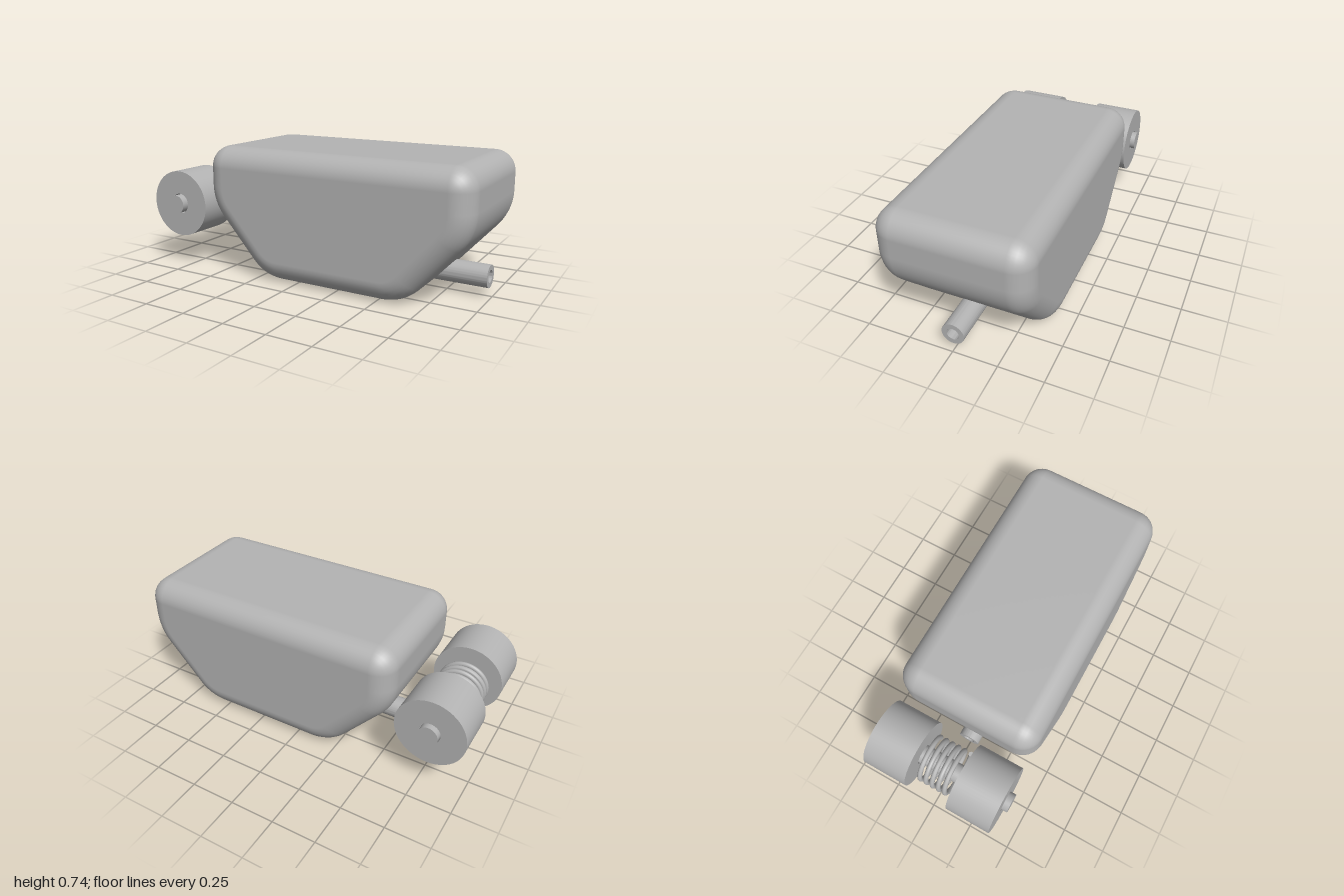
import * as THREE from 'three';
import { toCreasedNormals } from 'three/addons/utils/BufferGeometryUtils.js';

const PIPE = { y: 0.11, outer: 0.063, inner: 0.035 };
const AXLE = { x: -0.805, y: 0.374 };

// Closed convex outline with rounded corners; each point carries its outward normal
function roundedOutline(corners, step) {
  const arcs = corners.map(([x, y, r], i) => {
    const p = new THREE.Vector2(x, y);
    const prev = corners[(i + corners.length - 1) % corners.length];
    const next = corners[(i + 1) % corners.length];
    const din = new THREE.Vector2(x - prev[0], y - prev[1]).normalize();
    const dout = new THREE.Vector2(next[0] - x, next[1] - y).normalize();
    const a0 = Math.atan2(-din.x, din.y);
    const turn = Math.acos(din.dot(dout));
    const centre = p.clone().addScaledVector(din, -r * Math.tan(turn / 2))
      .add(new THREE.Vector2(-din.y, din.x).multiplyScalar(r));
    return Array.from({ length: 11 }, (_, k) => {
      const a = a0 + turn * k / 10;
      const n = new THREE.Vector2(Math.cos(a), Math.sin(a));
      return { p: centre.clone().addScaledVector(n, r), n };
    });
  });
  const out = [];
  arcs.forEach((arc, i) => {
    out.push(...arc);
    const a = arc[10], b = arcs[(i + 1) % arcs.length][0];
    const count = Math.ceil(a.p.distanceTo(b.p) / step);
    for (let k = 1; k < count; k++) out.push({ p: a.p.clone().lerp(b.p, k / count), n: a.n });
  });
  return out;
}

// Tank body: outline swept along z with rounded rims, pierced where the pipe passes
function bodyGeometry() {
  const outline = roundedOutline([
    [1, 0.74, 0.12], [-0.58, 0.74, 0.12], [-0.58, 0.4, 0.3],
    [-0.218, 0, 0.26], [0.638, 0, 0.26], [1, 0.4, 0.3],
  ], 0.02);
  const half = 0.42, r = 0.12, rings = [];
  for (let k = 8; k >= 1; k--) rings.push([-(half - r), -k * Math.PI / 16]);
  for (let k = -15; k <= 15; k++) rings.push([k * 0.02, 0]);
  for (let k = 1; k <= 8; k++) rings.push([half - r, k * Math.PI / 16]);

  const pos = [], nor = [], idx = [], n = outline.length;
  for (const [z, t] of rings) {
    const inset = r * (1 - Math.cos(t));
    for (const o of outline) {
      pos.push(o.p.x - o.n.x * inset, o.p.y - o.n.y * inset, z + r * Math.sin(t));
      nor.push(o.n.x * Math.cos(t), o.n.y * Math.cos(t), Math.sin(t));
    }
  }
  const hole = 0.05;
  const dist = (i) => Math.hypot(pos[i * 3 + 1] - PIPE.y, pos[i * 3 + 2]);
  const tri = (...t) => { if (!t.every((i) => dist(i) < hole)) idx.push(...t); };
  for (let i = 0; i < rings.length - 1; i++) {
    for (let j = 0; j < n; j++) {
      const a = i * n + j, b = i * n + (j + 1) % n;
      tri(a, b, b + n);
      tri(a, b + n, a + n);
    }
  }
  // Remaining points inside the opening are pushed out into the pipe wall
  for (let i = 0; i < pos.length / 3; i++) {
    const d = dist(i);
    if (d < hole && d > 1e-6) {
      pos[i * 3 + 1] = PIPE.y + (pos[i * 3 + 1] - PIPE.y) * hole / d;
      pos[i * 3 + 2] *= hole / d;
    }
  }
  // Flat front and back faces
  for (const s of [-1, 1]) {
    const c = pos.length / 3, base = s > 0 ? (rings.length - 1) * n : 0;
    pos.push(0.21, 0.42, s * half);
    nor.push(0, 0, s);
    for (let j = 0; j < n; j++) {
      const a = base + j, b = base + (j + 1) % n;
      idx.push(c, ...(s > 0 ? [a, b] : [b, a]));
    }
  }
  const g = new THREE.BufferGeometry();
  g.setAttribute('position', new THREE.Float32BufferAttribute(pos, 3));
  g.setAttribute('normal', new THREE.Float32BufferAttribute(nor, 3));
  g.setIndex(idx);
  return g;
}

// Cylinder with a bore, running from z = 0 to z = length
function ringGeometry(outer, inner, length) {
  const shape = new THREE.Shape().absarc(0, 0, outer, 0, Math.PI * 2);
  shape.holes.push(new THREE.Path().absarc(0, 0, inner, 0, Math.PI * 2, true));
  const g = new THREE.ExtrudeGeometry(shape, { depth: length, bevelEnabled: false, curveSegments: 32 });
  return toCreasedNormals(g, 0.6);
}

class Helix extends THREE.Curve {
  getPoint(t, target = new THREE.Vector3()) {
    const a = t * Math.PI * 10;
    return target.set(0.126 * Math.cos(a), 0.126 * Math.sin(a), -0.098 + 0.195 * t);
  }
}

export function createModel() {
  const group = new THREE.Group();
  const grey = new THREE.MeshStandardMaterial({ color: 0xb3b3b3 });
  grey.name = 'grey';
  const add = (name, geometry, parent = group) => {
    const mesh = new THREE.Mesh(geometry, grey);
    mesh.name = name;
    parent.add(mesh);
    return mesh;
  };

  add('body', bodyGeometry());

  // Open pipe through the lower body
  const pipe = add('pipe', ringGeometry(PIPE.outer, PIPE.inner, 1.555));
  pipe.rotation.y = Math.PI / 2;
  pipe.position.set(-0.57, PIPE.y, 0);

  // Roller set: two rollers on an axle with a coil spring between
  const rollers = new THREE.Group();
  rollers.name = 'rollerSet';
  rollers.position.set(AXLE.x, AXLE.y, 0);
  group.add(rollers);

  add('axle', new THREE.CylinderGeometry(0.054, 0.054, 0.85, 40).rotateX(Math.PI / 2), rollers);
  add('frontRoller', ringGeometry(0.196, 0.06, 0.265), rollers).position.z = 0.126;
  add('backRoller', ringGeometry(0.196, 0.06, 0.265), rollers).position.z = -0.398;

  const wire = 0.014;
  add('spring', new THREE.TubeGeometry(new Helix(), 240, wire, 10), rollers);
  for (const s of [-1, 1]) {
    const end = new THREE.CircleGeometry(wire, 12).rotateX(-s * Math.PI / 2);
    add('springEnd', end, rollers).position.set(0.126, 0, s > 0 ? 0.097 : -0.098);
  }
  return group;
}
